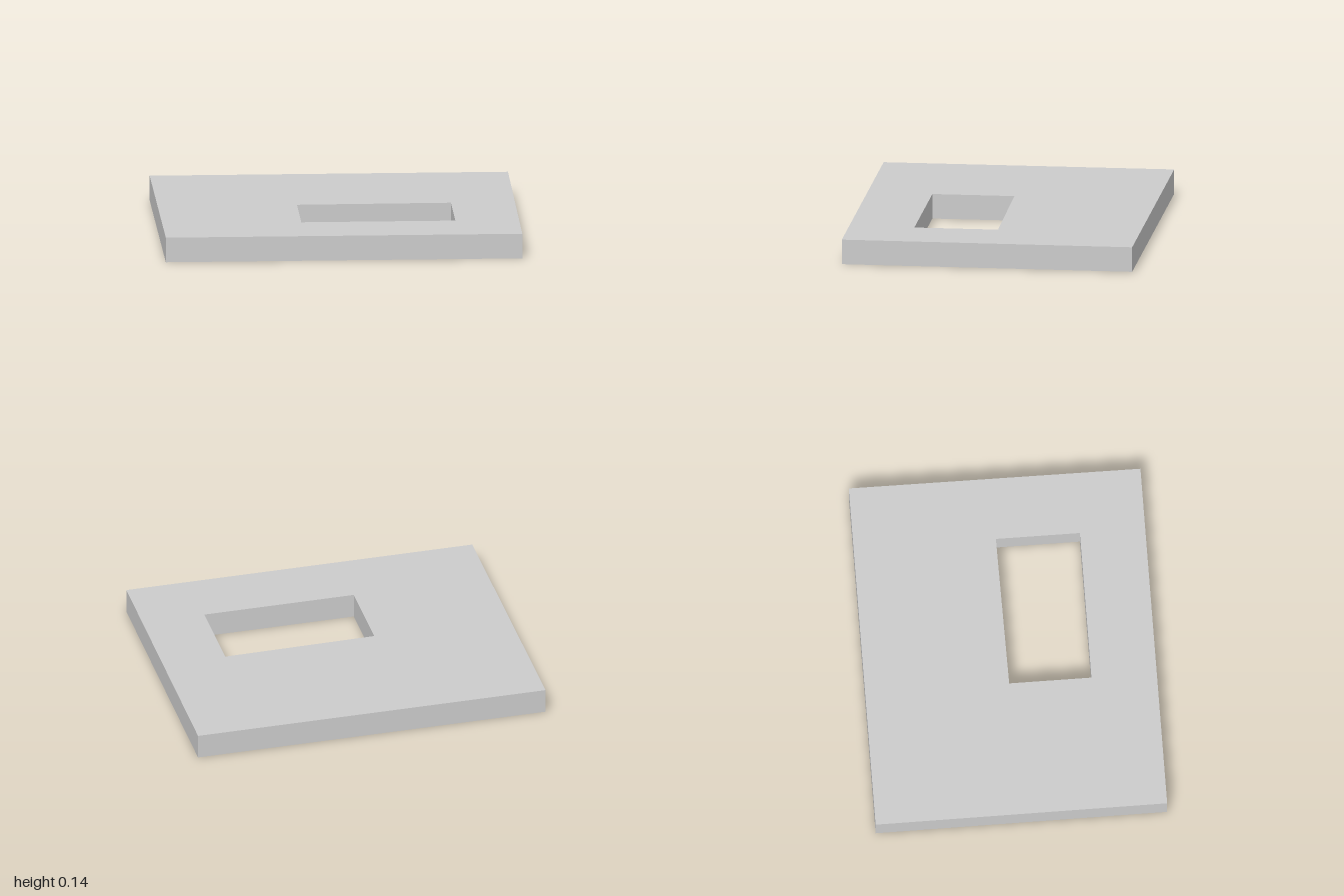
import * as THREE from 'three';

const HEIGHT = 0.14;

// Plan outlines are given as [x, z] corners
const toPoints = (corners) => corners.map(([x, z]) => new THREE.Vector2(x, -z));

export function createModel() {
  const group = new THREE.Group();
  group.name = 'slabWithOpening';

  // Flat slab
  const outline = new THREE.Shape(
    toPoints([[-0.995, 0.815], [0.995, 0.815], [1, -0.815], [-1, -0.815]])
  );

  // Off-centre rectangular opening, its back edge slightly skewed
  outline.holes.push(new THREE.Path(
    toPoints([[-0.22, 0.45], [-0.22, -0.01], [0.64, -0.02], [0.64, 0.45]])
  ));

  const geometry = new THREE.ExtrudeGeometry(outline, { depth: HEIGHT, bevelEnabled: false });
  geometry.rotateX(-Math.PI / 2);

  const slab = new THREE.Mesh(
    geometry,
    new THREE.MeshStandardMaterial({ color: 0xcccccc, flatShading: true })
  );
  slab.name = 'slab';
  group.add(slab);
  return group;
}
